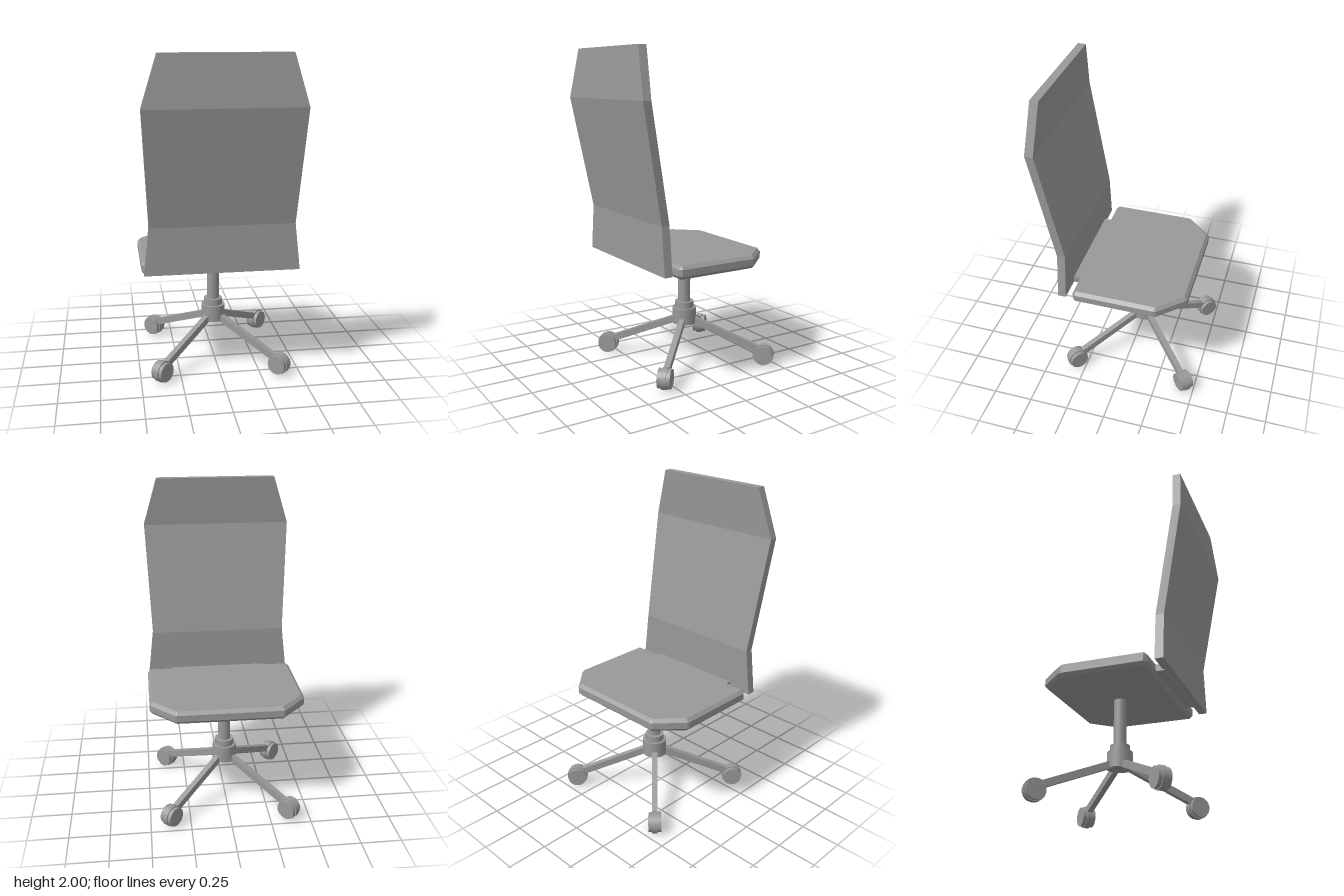
import * as THREE from 'three';

const grey = new THREE.MeshStandardMaterial({ color: 0x999999 });
grey.name = 'grey';

const AXIS_Z = -0.06; // the column stands slightly off the origin

function addMesh(parent, name, geometry, x = 0, y = 0, z = 0) {
  const mesh = new THREE.Mesh(geometry, grey);
  mesh.name = name;
  mesh.position.set(x, y, z);
  parent.add(mesh);
  return mesh;
}

// Faceted solid through convex rings of [x, y, z] points, listed from bottom to top
function loft(rings) {
  const pos = [];
  const tri = (a, b, c) => pos.push(...a, ...b, ...c);
  const n = rings[0].length;
  for (let r = 0; r < rings.length - 1; r++) {
    for (let i = 0; i < n; i++) {
      const j = (i + 1) % n;
      tri(rings[r][i], rings[r][j], rings[r + 1][j]);
      tri(rings[r][i], rings[r + 1][j], rings[r + 1][i]);
    }
  }
  const top = rings[rings.length - 1];
  for (let i = 1; i < n - 1; i++) {
    tri(rings[0][0], rings[0][i + 1], rings[0][i]);
    tri(top[0], top[i], top[i + 1]);
  }
  const g = new THREE.BufferGeometry();
  g.setAttribute('position', new THREE.Float32BufferAttribute(pos, 3));
  g.computeVertexNormals();
  return g;
}

// Ring mirrored across x from its right half
function mirrorRing(half, y) {
  const left = half.map(([x, z]) => [-x, z]).reverse();
  return [...half, ...left].map(([x, z]) => [x, y, z]);
}

function createSeat() {
  const rim = [[0.46, 0.275], [0.48, 0.255], [0.48, -0.245], [0.474, -0.262], [0.333, -0.413], [0.32, -0.418]];
  const face = [[0.46, 0.255], [0.46, 0.255], [0.46, -0.25], [0.46, -0.25], [0.32, -0.398], [0.32, -0.398]];
  return loft([
    mirrorRing(face, 0.684), mirrorRing(rim, 0.704),
    mirrorRing(rim, 0.745), mirrorRing(face, 0.765),
  ]);
}

function createBackrest() {
  // height, left edge, right edge, inner z
  const levels = [
    [0.71, -0.47, 0.468, 0.318],
    [1.0, -0.437, 0.435, 0.318],
    [1.7, -0.475, 0.466, 0.449],
    [2.0, -0.38, 0.378, 0.427],
  ];
  return loft(levels.map(([y, l, r, z]) => [[r, y, z + 0.051], [r, y, z], [l, y, z], [l, y, z + 0.051]]));
}

// One leg running along +x, with a caster rolling in the same direction
function createLeg() {
  const leg = new THREE.Group();
  leg.name = 'leg';
  const start = new THREE.Vector2(0.04, 0.277);
  const end = new THREE.Vector2(0.5, 0.095);
  const d = end.clone().sub(start);
  const bar = addMesh(leg, 'legBar', new THREE.BoxGeometry(d.length(), 0.043, 0.036),
    (start.x + end.x) / 2, (start.y + end.y) / 2);
  bar.rotation.z = Math.atan2(d.y, d.x);

  const disc = (name, radius, width, z) => {
    addMesh(leg, name, new THREE.CylinderGeometry(radius, radius, width, 24), 0.522, 0.067, z).rotation.x = Math.PI / 2;
  };
  disc('casterCore', 0.067, 0.034, 0);
  for (const s of [-1, 1]) disc('casterWheel', 0.06, 0.024, s * 0.028);
  return leg;
}

export function createModel() {
  const chair = new THREE.Group();
  chair.name = 'swivelChair';

  addMesh(chair, 'seat', createSeat());
  addMesh(chair, 'backrest', createBackrest());
  addMesh(chair, 'backrestBracket', new THREE.BoxGeometry(0.63, 0.042, 0.07), 0, 0.725, 0.293);

  // Central column
  const tube = (name, r, y0, y1) =>
    addMesh(chair, name, new THREE.CylinderGeometry(r, r, y1 - y0, 32), 0, (y0 + y1) / 2, AXIS_Z);
  tube('column', 0.039, 0.35, 0.69);
  tube('collar', 0.06, 0.34, 0.393);
  tube('hub', 0.077, 0.247, 0.352);

  // Four diagonal legs
  for (let i = 0; i < 4; i++) {
    const leg = createLeg();
    leg.position.z = AXIS_Z;
    leg.rotation.y = Math.PI / 4 + (i * Math.PI) / 2;
    chair.add(leg);
  }
  return chair;
}
